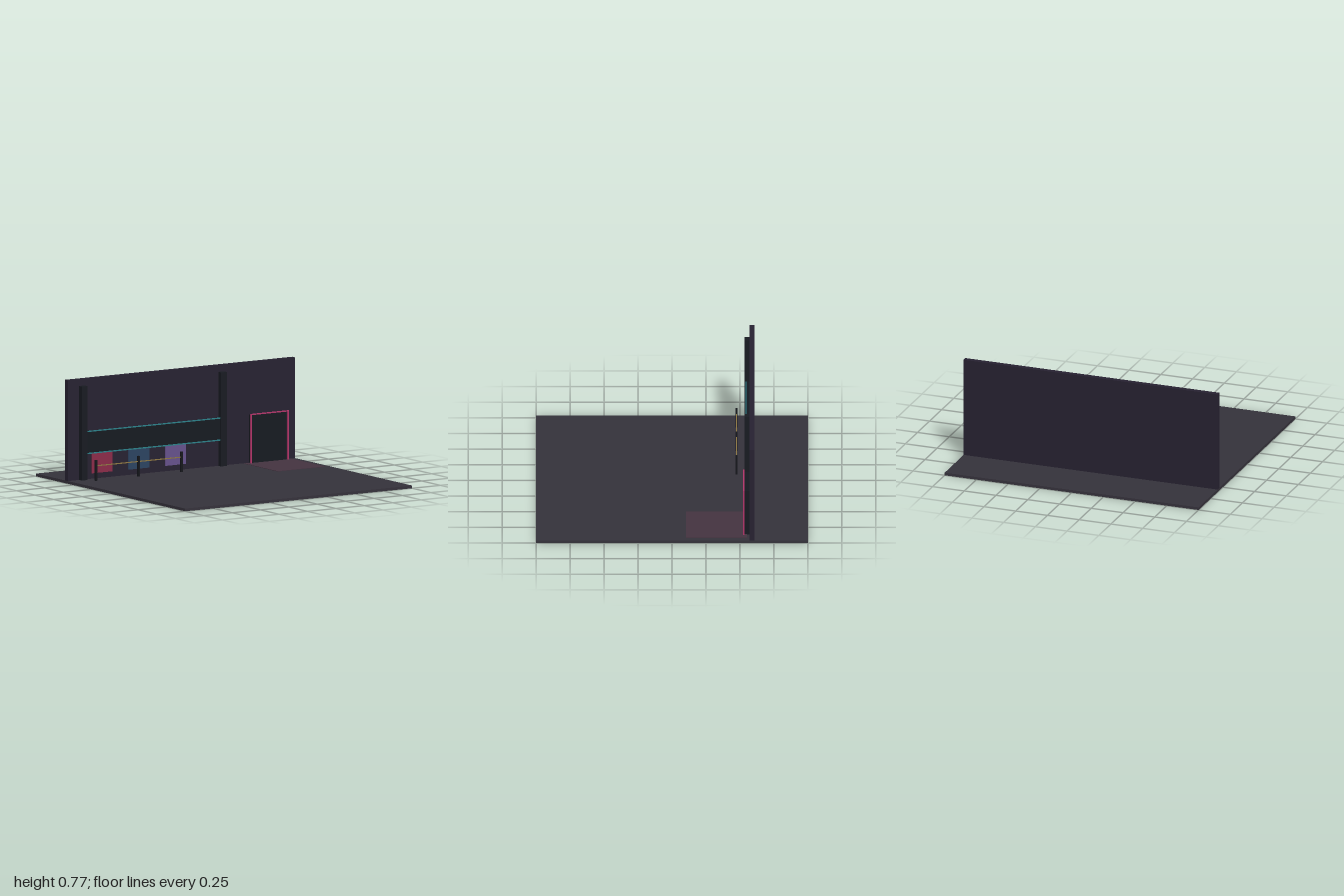
import * as THREE from 'three';

export function createModel() {
  const model = new THREE.Group();
  const mats = {};
  const mat = (color) => (mats[color] ??= new THREE.MeshStandardMaterial({ color }));

  // Box given by its [min, max] extents along each axis
  function box(name, color, [x0, x1], [y0, y1], [z0, z1]) {
    const mesh = new THREE.Mesh(new THREE.BoxGeometry(x1 - x0, y1 - y0, z1 - z0), mat(color));
    mesh.position.set((x0 + x1) / 2, (y0 + y1) / 2, (z0 + z1) / 2);
    mesh.name = name;
    model.add(mesh);
  }

  const floorTop = 0.02;
  const wallFront = -0.57;

  // Floor slab and back wall
  box('floor', 0x34313a, [-1, 1], [0, floorTop], [-1, 1]);
  box('wall', 0x262130, [-1, 1], [floorTop, 0.77], [-0.608, wallFront]);

  // Pillars either side of the shop front
  for (const x of [-0.877, 0.35]) {
    box('pillar', 0x171a21, [x - 0.025, x + 0.025], [floorTop, 0.72], [wallFront, -0.533]);
  }

  // Sign panel edged by two light strips
  box('signPanel', 0x151920, [-0.845, 0.328], [0.215, 0.38], [wallFront, -0.55]);
  for (const y of [0.215, 0.379]) {
    box('lightStrip', 0x2a7d86, [-0.845, 0.328], [y - 0.004, y + 0.004], [-0.55, -0.541]);
  }

  // Coloured wall posters
  [[-0.7, 0x8a2a48], [-0.377, 0x2b4260], [-0.053, 0x65508a]].forEach(([x, color]) => {
    box('poster', color, [x - 0.092, x + 0.092], [0.06, 0.211], [wallFront, -0.566]);
  });

  // Barrier: three posts and a rail
  const postX = [-0.815, -0.44, -0.064];
  for (const x of postX) {
    box('barrierPost', 0x14161b, [x - 0.008, x + 0.008], [floorTop, 0.172], [-0.481, -0.467]);
  }
  box('barrierRail', 0x8a7440, [postX[0], postX[2]], [0.127, 0.134], [-0.478, -0.471]);

  // Doorway with a glowing frame
  box('door', 0x151920, [0.595, 0.9], [floorTop, 0.38], [wallFront, -0.535]);
  for (const x of [0.584, 0.912]) {
    box('doorFrameSide', 0xb03468, [x - 0.005, x + 0.005], [floorTop, 0.389], [-0.535, -0.522]);
  }
  box('doorFrameTop', 0xb03468, [0.589, 0.907], [0.381, 0.389], [-0.535, -0.522]);

  // Tinted patch of floor before the door
  box('doorMat', 0x43323f, [0.54, 0.955], [floorTop, 0.023], [-0.552, -0.102]);

  return model;
}
